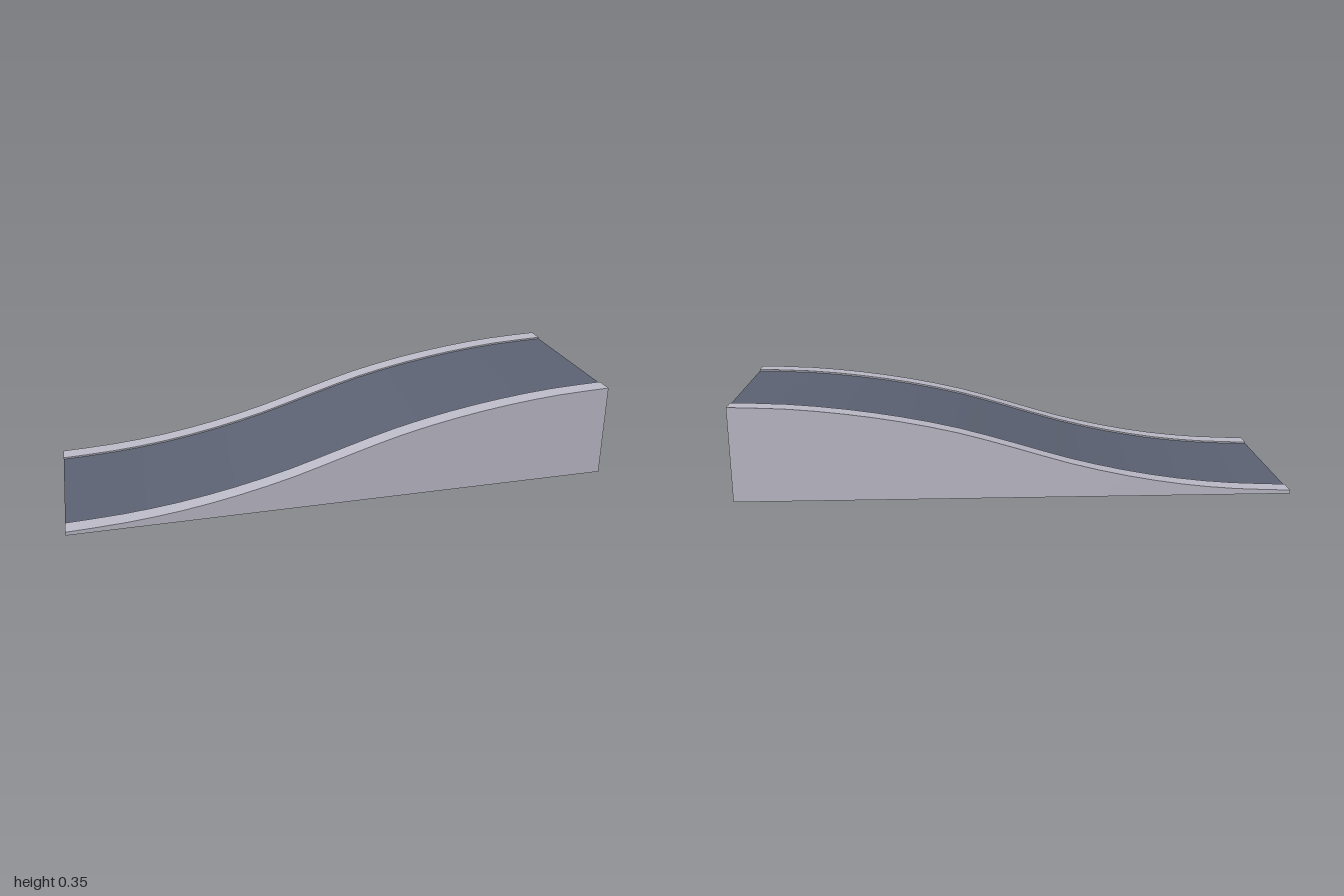
import * as THREE from 'three';
import { mergeGeometries } from 'three/addons/utils/BufferGeometryUtils.js';

const OUTER = 0.333, INNER = 0.267, LIP = 0.006, SEGMENTS = 20;

// Kerb-top height from the low end to the high end, at equal steps in x
const heights = [0.013, 0.022, 0.043, 0.078, 0.126, 0.187, 0.245, 0.288, 0.319, 0.339, 0.347];
const profile = new THREE.SplineCurve(heights.map((y, i) => new THREE.Vector2(-1 + 0.2 * i, y)));
const stations = profile.getPoints(SEGMENTS);

// Cross-section corners [z, y] for kerb height h, from front bottom over to back bottom
const section = (h) => [
  [OUTER, 0], [OUTER, h], [INNER, h], [INNER, h - LIP],
  [-INNER, h - LIP], [-INNER, h], [-OUTER, h], [-OUTER, 0],
];
const ROAD_SIDE = 3;

// Surface swept along x by one side of the cross-section
function strip(side) {
  const pos = [], index = [];
  stations.forEach((p, i) => {
    const s = section(p.y);
    const a = s[side], b = s[(side + 1) % s.length];
    pos.push(p.x, a[1], a[0], p.x, b[1], b[0]);
    if (i < SEGMENTS) {
      const k = 2 * i;
      index.push(k, k + 2, k + 3, k, k + 3, k + 1);
    }
  });
  const g = new THREE.BufferGeometry();
  g.setAttribute('position', new THREE.Float32BufferAttribute(pos, 3));
  g.setIndex(index);
  g.computeVertexNormals();
  return g;
}

// Flat end wall at x = -1 or x = 1
function endWall(dir) {
  const h = heights[dir > 0 ? heights.length - 1 : 0];
  const shape = new THREE.Shape(section(h).map(([z, y]) => new THREE.Vector2(z, y)));
  const g = new THREE.ShapeGeometry(shape).rotateY(dir * Math.PI / 2).translate(dir, 0, 0);
  g.deleteAttribute('uv');
  return g;
}

export function createModel() {
  const concrete = new THREE.MeshStandardMaterial({ color: 0xbab9c6 });
  concrete.name = 'lightConcrete';
  const asphalt = new THREE.MeshStandardMaterial({ color: 0x5b6172 });
  asphalt.name = 'darkAsphalt';

  const group = new THREE.Group();
  group.name = 'roadRamp';
  const add = (name, geometry, material) => {
    const mesh = new THREE.Mesh(geometry, material);
    mesh.name = name;
    group.add(mesh);
  };

  // Side walls and underside, closed by the two ends
  add('rampBody', mergeGeometries([strip(0), strip(6), strip(7), endWall(-1), endWall(1)]), concrete);
  // Raised kerbs: top and inner wall
  add('leftKerb', mergeGeometries([strip(1), strip(2)]), concrete);
  add('rightKerb', mergeGeometries([strip(4), strip(5)]), concrete);
  // Recessed road surface
  add('roadSurface', strip(ROAD_SIDE), asphalt);
  return group;
}
